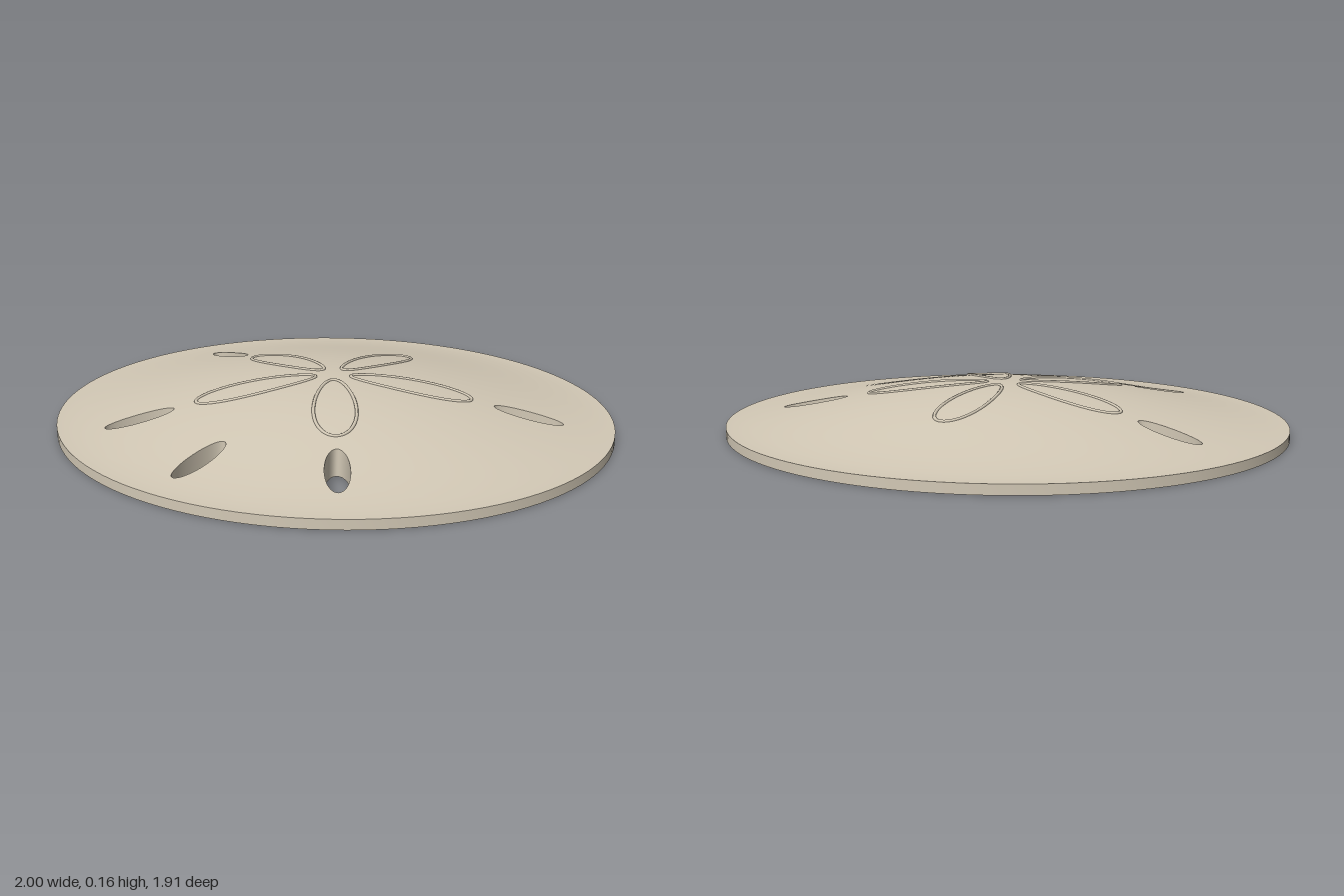
import * as THREE from 'three';
import { mergeVertices } from 'three/addons/utils/BufferGeometryUtils.js';

const DEPTH = 0.957;                 // z radius of the slightly oval disc
const RIM = 0.033, RISE = 0.125;     // rim thickness and dome rise
const SECTOR = Math.PI / 5, N = 12;  // ten sectors, twelve segments each
const R0 = 0.5, R1 = 0.92;           // band that holds the slots
const DIMPLE = 0.09;

const polar = (r, a) => [r * Math.cos(a), r * Math.sin(a) * DEPTH];
const mix = (a, b, t) => a + (b - a) * t;

// Height of the domed top at a plan position
function height(x, z) {
  const r2 = Math.min(1, x * x + (z / DEPTH) ** 2);
  return RIM + RISE * Math.pow(1 - r2, 1.7);
}

// Adds a grid of triangles whose normal is (d/du x d/dv)
function patch(out, fn, nu, nv) {
  for (let i = 0; i < nu; i++) {
    for (let j = 0; j < nv; j++) {
      const a = fn(i / nu, j / nv), b = fn((i + 1) / nu, j / nv);
      const c = fn((i + 1) / nu, (j + 1) / nv), d = fn(i / nu, (j + 1) / nv);
      out.push(...a, ...b, ...c, ...a, ...c, ...d);
    }
  }
}

// Smooth indexed geometry from loose triangles
function smooth(points) {
  const g = new THREE.BufferGeometry();
  g.setAttribute('position', new THREE.Float32BufferAttribute(points, 3));
  const merged = mergeVertices(g, 1e-5);
  merged.computeVertexNormals();
  return merged;
}

// Point on the border of a sector band, walked round as u goes 0..1
function bandBorder(u) {
  const k = Math.round(u * 4 * N) % (4 * N), side = Math.floor(k / N);
  const t = (k % N) / N * 2 - 1;
  return [[t, -1], [1, t], [-t, 1], [-1, -t]][side];
}

export function createModel() {
  const group = new THREE.Group();
  group.name = 'sandDollar';
  const material = new THREE.MeshStandardMaterial({ color: 0xd3c9b6 });
  const add = (name, geometry, parent = group) => {
    const mesh = new THREE.Mesh(geometry, material);
    mesh.name = name;
    parent.add(mesh);
    return mesh;
  };

  const top = [], bottom = [], rim = [], walls = [];

  // The same plan grid makes the dome and, flipped, the flat underside
  const topPatch = (plan, nu, nv) => patch(top, (u, v) => {
    const [x, z] = plan(u, v);
    return [x, height(x, z), z];
  }, nu, nv);
  const bottomPatch = (plan, nu, nv) => patch(bottom, (v, u) => {
    const [x, z] = plan(u, v);
    return [x, 0, z];
  }, nv, nu);
  const both = (plan, nu, nv) => {
    topPatch(plan, nu, nv);
    bottomPatch(plan, nu, nv);
  };

  // Slots by sector number: centre radius differs a little for the front one
  const slots = { 9: 0.703, 1: 0.7, 2: 0.725, 3: 0.7, 5: 0.703 };

  for (let s = 0; s < 10; s++) {
    const mid = (s + 0.5) * SECTOR;
    const ring = (a, b) => (u, v) => polar(mix(a, b, v), mid + (u - 0.5) * SECTOR);
    topPatch(ring(0, R0), N, 14);
    bottomPatch(ring(DIMPLE, R0), N, 3);
    both(ring(R1, 1), N, 5);

    if (slots[s] === undefined) {
      both(ring(R0, R1), N, N);
    } else {
      // Grid from the oval slot edge out to the sector border
      const c = Math.cos(mid), n = Math.sin(mid), r = slots[s];
      const edge = (u) => {
        const [p, q] = bandBorder(u);
        const f = Math.atan2(q, p);
        const along = r + 0.12 * Math.cos(f), across = 0.04 * Math.sin(f);
        return [c * along - n * across, n * along + c * across];
      };
      both((u, v) => {
        const [p, q] = bandBorder(u), e = edge(u);
        const o = polar(mix(R0, R1, (p + 1) / 2), mid + q * SECTOR / 2);
        return [mix(e[0], o[0], v), mix(e[1], o[1], v)];
      }, 4 * N, 6);
      // Upright wall inside the slot
      patch(walls, (u, v) => {
        const [x, z] = edge(u);
        return [x, v * height(x, z), z];
      }, 4 * N, 1);
    }

    // Outer rim
    patch(rim, (u, v) => {
      const [x, z] = polar(1, mid + (v - 0.5) * SECTOR);
      return [x, u * RIM, z];
    }, 1, N);
  }

  add('dome', smooth(top));
  add('underside', smooth(bottom));
  add('rim', smooth(rim));
  add('slotWalls', smooth(walls));

  // Shallow cone pressed into the middle of the underside
  const dimple = [];
  patch(dimple, (v, u) => {
    const [x, z] = polar(DIMPLE * v, u * Math.PI * 2);
    return [x, 0.03 * (1 - v), z];
  }, 4, 10 * N);
  add('mouthDimple', smooth(dimple));

  // Five raised petal outlines lying on the dome
  const petals = new THREE.Group();
  petals.name = 'petals';
  group.add(petals);
  for (let k = 0; k < 5; k++) {
    const a = -Math.PI / 2 + k * Math.PI * 2 / 5;
    const c = Math.cos(a), n = Math.sin(a), points = [];
    for (let i = 0; i < 40; i++) {
      const t = i / 40 * Math.PI * 2;
      const along = 0.285 + 0.218 * Math.cos(t);
      const across = 0.07 * Math.sin(t) * (1 + 0.22 * Math.cos(t));
      const x = c * along - n * across, z = n * along + c * across;
      points.push(new THREE.Vector3(x, height(x, z), z));
    }
    const path = new THREE.CatmullRomCurve3(points, true);
    add('petalOutline', new THREE.TubeGeometry(path, 96, 0.006, 8, true), petals);
  }

  return group;
}
